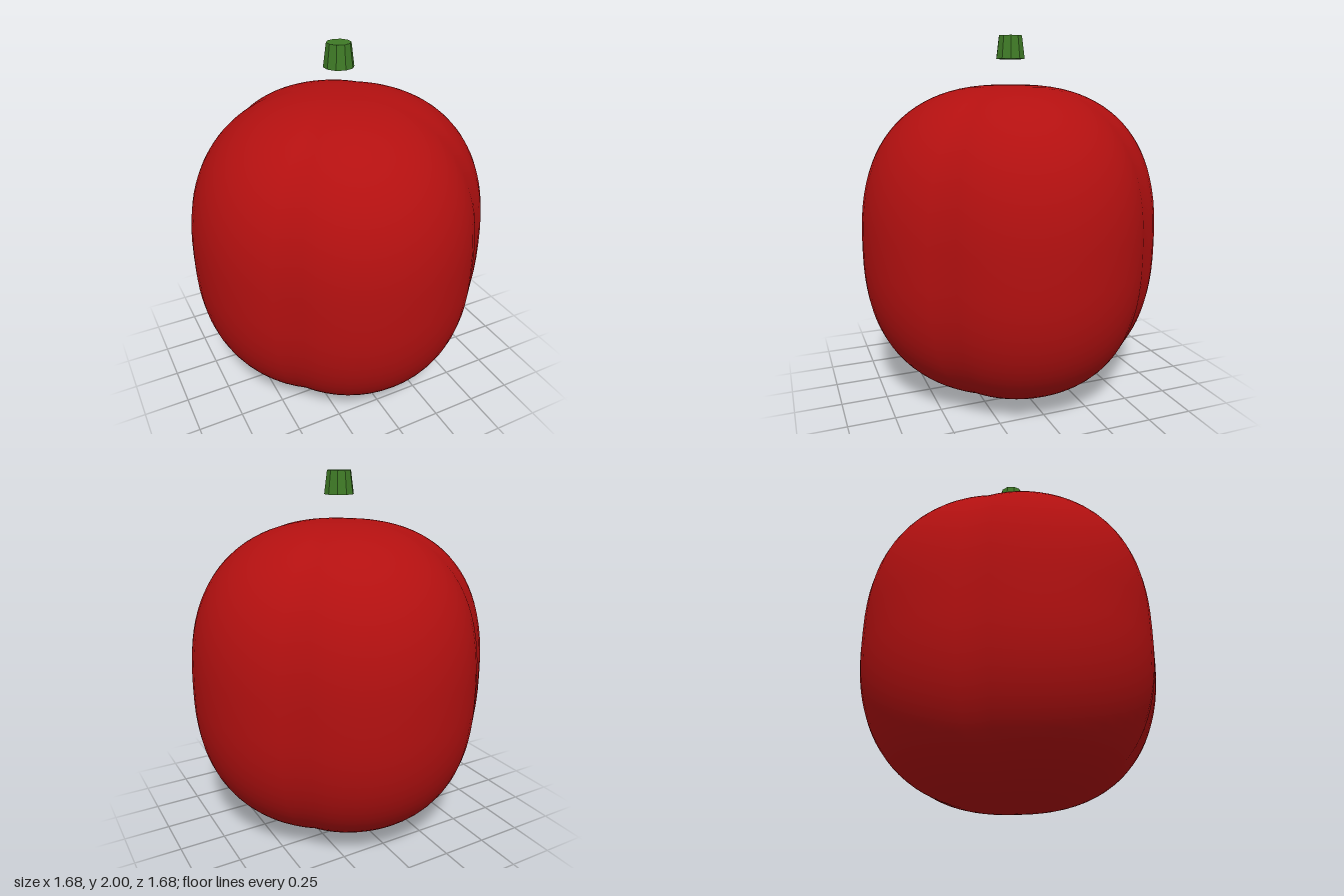
import * as THREE from 'three';
import { mergeVertices } from 'three/addons/utils/BufferGeometryUtils.js';

const skin = new THREE.MeshStandardMaterial({ color: 0xb31010 });
skin.name = 'red skin';
const stalk = new THREE.MeshStandardMaterial({ color: 0x3f7a26, flatShading: true });
stalk.name = 'green stem';

// Radius of the four-lobed cross-section: circular arcs meeting at the diagonals
function lobeRadius(angle) {
  const offset = 0.164, arc = 0.676, quarter = Math.PI / 2;
  const a = angle - Math.round(angle / quarter) * quarter;
  return offset * Math.cos(a) + Math.sqrt(arc ** 2 - (offset * Math.sin(a)) ** 2);
}

// Rounded-square profile swept around the lobed cross-section
function fruitGeometry() {
  const height = 0.868, middle = 0.872, power = 0.8;
  let geo = new THREE.SphereGeometry(1, 64, 48);
  geo.deleteAttribute('uv');
  geo.deleteAttribute('normal');
  const p = geo.attributes.position;
  for (let i = 0; i < p.count; i++) {
    const x = p.getX(i), y = p.getY(i), z = p.getZ(i);
    const angle = Math.atan2(z, x);
    const r = Math.pow(Math.hypot(x, z), power) * lobeRadius(angle);
    const h = Math.sign(y) * Math.pow(Math.abs(y), power) * height;
    p.setXYZ(i, r * Math.cos(angle), middle + h, r * Math.sin(angle));
  }
  geo = mergeVertices(geo, 1e-5);
  geo.computeVertexNormals();
  return geo;
}

export function createModel() {
  const group = new THREE.Group();
  group.name = 'lobedFruit';

  const body = new THREE.Mesh(fruitGeometry(), skin);
  body.name = 'body';

  // Ten-sided tapered stem hovering above the body
  const stem = new THREE.Mesh(new THREE.CylinderGeometry(0.065, 0.081, 0.124, 10), stalk);
  stem.name = 'stem';
  stem.position.y = 1.938;

  group.add(body, stem);
  return group;
}
